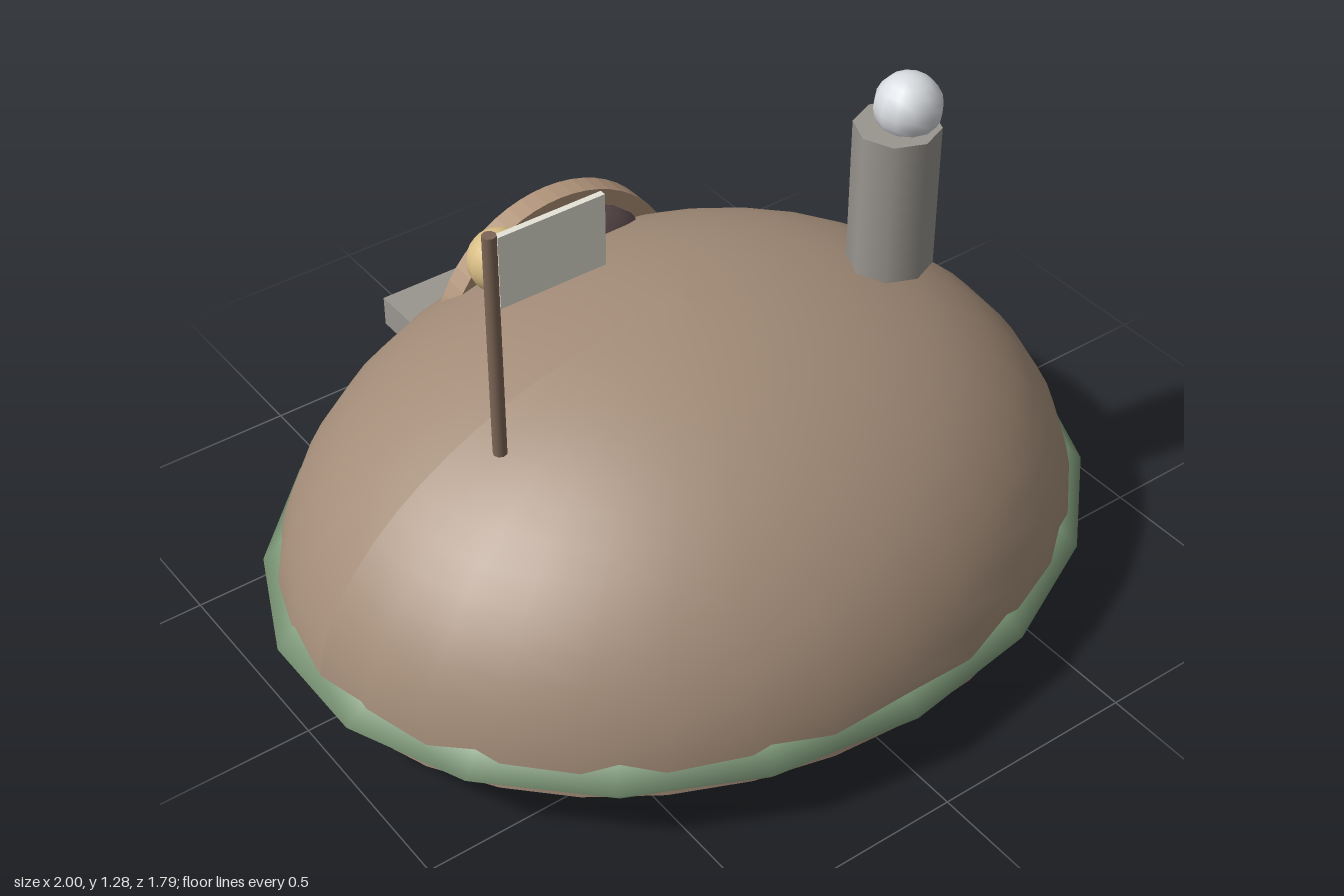
import * as THREE from 'three';

const mat = (color, extra = {}) => new THREE.MeshStandardMaterial({ color, ...extra });
const earth = mat(0xa38c78, { side: THREE.DoubleSide });
const moss = mat(0x7f9b7a);
const stone = mat(0x9a9690);
const wood = mat(0x7d6656);
const clay = mat(0xb0937a);
const shadow = mat(0x5a4a4c);
const gold = mat(0xd8bd85);
const pearl = mat(0xd9dce0);
const cloth = mat(0xe6e4d8);

export function createModel() {
  const model = new THREE.Group();
  const add = (name, geometry, material, x, y, z) => {
    const mesh = new THREE.Mesh(geometry, material);
    mesh.name = name;
    mesh.position.set(x, y, z);
    model.add(mesh);
    return mesh;
  };

  // Mossy base: a squashed, 18-sided sphere
  add('mossBase', new THREE.SphereGeometry(1, 18, 10, Math.PI / 2)
    .scale(1.015, 0.165, 0.85), moss, 0, 0.165, 0.04);

  // Earth mound: an open half ellipsoid, pressed in at the lower back
  const dome = new THREE.SphereGeometry(1, 32, 16, 0, Math.PI * 2, 0, Math.PI / 2)
    .scale(0.98, 0.65, 0.82);
  const p = dome.attributes.position;
  for (let i = 0; i < p.count; i++) {
    if (p.getZ(i) >= 0) continue;
    const low = 1 - THREE.MathUtils.smoothstep(p.getY(i), 0.2, 0.45);
    p.setZ(i, p.getZ(i) + 0.06 * low * Math.exp(-((p.getX(i) / 0.25) ** 2)));
  }
  dome.computeVertexNormals();
  add('mound', dome, earth, 0, 0.13, 0.04);

  // Entrance slab and the thin sill below it
  add('entranceSlab', new THREE.BoxGeometry(0.46, 0.08, 0.22), stone, 0, 0.275, -0.79);
  add('entranceSill', new THREE.BoxGeometry(0.56, 0.03, 0.06), stone, 0, 0.22, -0.73);

  // Arch over a dark burrow opening
  const ring = new THREE.Shape();
  ring.absarc(0, 0, 0.325, 0, Math.PI, false);
  ring.absarc(0, 0, 0.235, Math.PI, 0, true);
  add('burrowArch', new THREE.ExtrudeGeometry(ring, {
    depth: 0.06, bevelEnabled: false, curveSegments: 14,
  }), clay, 0, 0.456, -0.495);
  add('burrowOpening', new THREE.SphereGeometry(1, 20, 12)
    .scale(0.22, 0.14, 0.11), shadow, 0, 0.6, -0.42);

  // Ball beside the opening
  add('goldBall', new THREE.SphereGeometry(0.077, 16, 12), gold, -0.225, 0.75, -0.35);

  // Flag
  add('flagPole', new THREE.CylinderGeometry(0.016, 0.016, 0.56, 8), wood, -0.555, 0.96, 0.145);
  add('flag', new THREE.BoxGeometry(0.26, 0.175, 0.015), cloth, -0.41, 1.143, 0.145);

  // Floating eight-sided pillar topped by a ball
  add('pillar', new THREE.CylinderGeometry(0.097, 0.097, 0.355, 8), stone, 0.438, 0.983, 0.225);
  add('pillarBall', new THREE.SphereGeometry(0.077, 12, 10), pearl, 0.463, 1.2, 0.228);

  return model;
}
